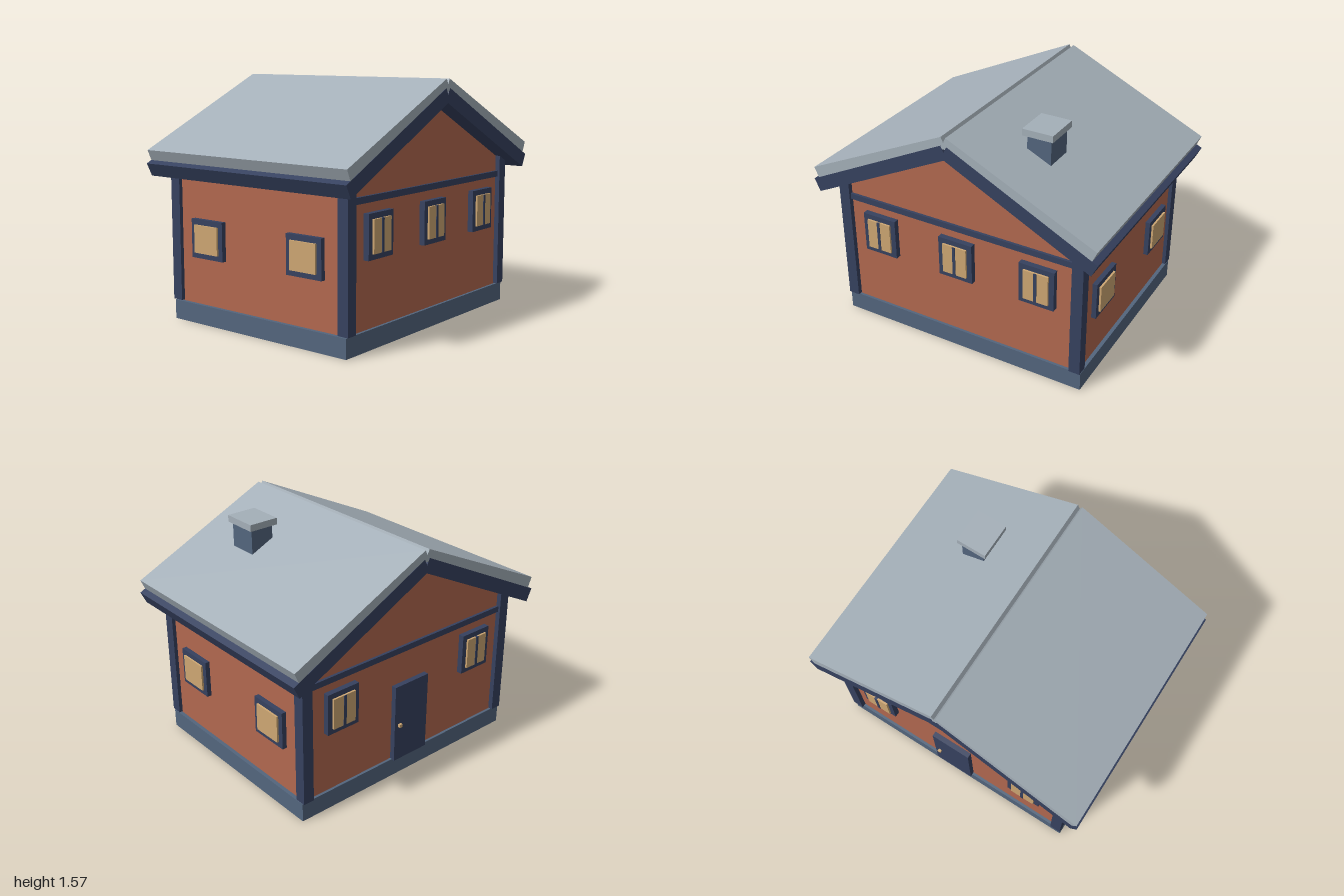
import * as THREE from 'three';

const mat = (name, color) => {
  const m = new THREE.MeshStandardMaterial({ color });
  m.name = name;
  return m;
};

export function createModel() {
  const house = new THREE.Group();
  house.name = 'house';
  const wall = mat('brick red', 0xb1684f);
  const trim = mat('navy trim', 0x36415f);
  const stone = mat('slate stone', 0x53657d);
  const roof = mat('grey roof', 0xa4afb8);
  const glass = mat('warm glass', 0xcda672);

  // Box given by its centre and size
  const box = (parent, name, material, x, y, z, w, h, d) => {
    const mesh = new THREE.Mesh(new THREE.BoxGeometry(w, h, d), material);
    mesh.name = name;
    mesh.position.set(x, y, z);
    parent.add(mesh);
    return mesh;
  };

  // Front outline extruded evenly along z
  const prism = (name, material, points, depth) => {
    const shape = new THREE.Shape(points.map(([x, y]) => new THREE.Vector2(x, y)));
    const geo = new THREE.ExtrudeGeometry(shape, { depth, bevelEnabled: false });
    geo.translate(0, 0, -depth / 2);
    const mesh = new THREE.Mesh(geo, material);
    mesh.name = name;
    house.add(mesh);
  };

  // Base and gabled walls
  box(house, 'foundation', stone, 0, 0.0625, 0, 1.75, 0.125, 1.42);
  prism('walls', wall, [[-0.85, 0.12], [0.85, 0.12], [0.85, 1.04], [0, 1.46], [-0.85, 1.04]], 1.385);

  // Corner posts and gable beams
  for (const sz of [1, -1]) {
    for (const sx of [1, -1]) {
      box(house, 'cornerPost', trim, sx * 0.8375, 0.58, sz * 0.6875, 0.075, 0.9, 0.075);
    }
    box(house, 'gableBeam', trim, 0, 0.9, sz * 0.695, 1.62, 0.04, 0.03);
  }

  // Roof: a navy deck under a grey cover on each slope, with a notch at the ridge
  for (const s of [1, -1]) {
    const side = (pts) => pts.map(([x, y]) => [s * x, y]);
    prism('roofDeck', trim, side([[0.02, 1.513], [1, 1.025], [0.96, 0.943], [-0.02, 1.431]]), 1.622);
    prism('roofCover', roof, side([[0.016, 1.57], [0.992, 1.11], [0.962, 1.042], [-0.016, 1.502]]), 1.62);
  }

  // Window facing +z, placed on a wall by a turn about y
  const addWindow = (x, y, z, turn, w, h, mullion) => {
    const win = new THREE.Group();
    win.name = 'window';
    win.position.set(x, y, z);
    win.rotation.y = turn;
    box(win, 'windowFrame', trim, 0, 0, 0.01, w, h, 0.05);
    box(win, 'windowPane', glass, 0, 0, 0.03, w - 0.07, h - 0.07, 0.036);
    if (mullion) box(win, 'mullion', trim, 0, 0, 0.035, 0.02, h - 0.07, 0.034);
    house.add(win);
  };
  for (const x of [-0.57, 0, 0.57]) addWindow(x, 0.682, 0.695, 0, 0.24, 0.275, true);
  for (const x of [-0.57, 0.57]) addWindow(x, 0.682, -0.695, Math.PI, 0.24, 0.275, true);
  for (const s of [1, -1]) {
    for (const z of [-0.4, 0.4]) addWindow(s * 0.846, 0.558, z, s * Math.PI / 2, 0.27, 0.25, false);
  }

  // Back door
  box(house, 'door', trim, 0, 0.39, -0.705, 0.28, 0.54, 0.045);
  box(house, 'doorKnob', glass, 0.1, 0.375, -0.735, 0.022, 0.022, 0.02);

  // Chimney
  box(house, 'chimney', stone, 0.42, 1.38, 0.333, 0.16, 0.26, 0.2);
  box(house, 'chimneyCap', roof, 0.418, 1.528, 0.333, 0.205, 0.044, 0.24);

  return house;
}
